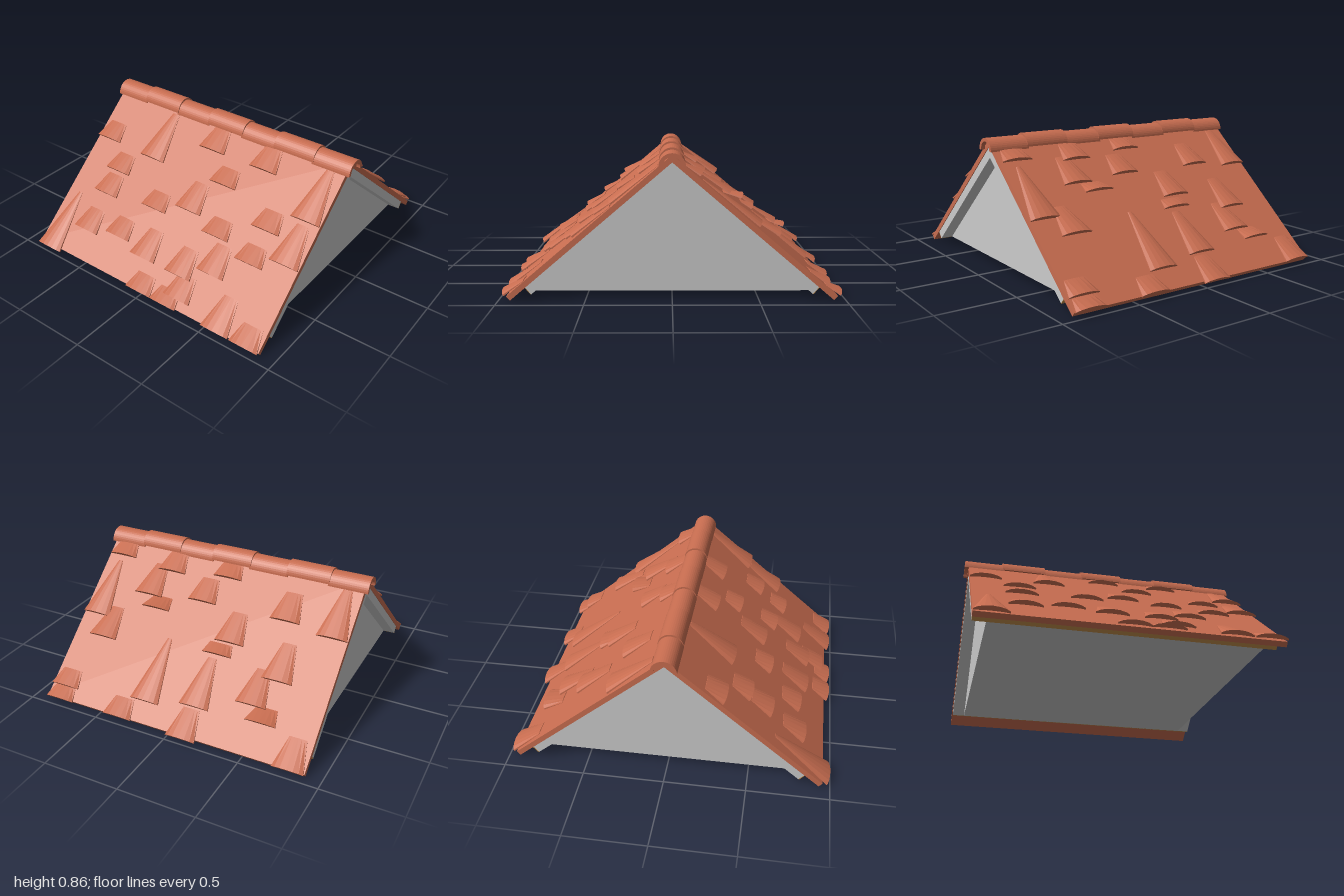
import * as THREE from 'three';

const PITCH = Math.atan(0.853);
const SIN = Math.sin(PITCH), COS = Math.cos(PITCH), TAN = Math.tan(PITCH);
const APEX = 0.842;

const clay = new THREE.MeshStandardMaterial({ color: 0xc86d50 });
const wood = new THREE.MeshStandardMaterial({ color: 0xc08c4a });
const grey = new THREE.MeshStandardMaterial({ color: 0xcccccc });

// Tiles per slope: [eave-end |x|, ridge-end |x|, z, lift of the eave end]
const LEFT_SLOPE = [
  [0.99, 0.81, -0.8], [0.36, 0.08, -0.8], [0.62, 0.40, -0.56], [0.85, 0.72, -0.56, 0.04],
  [0.77, 0.55, -0.46, 0.025], [0.33, 0.15, -0.48], [0.50, 0.31, -0.18], [0.57, 0.48, -0.13],
  [0.84, 0.56, -0.11], [1.0, 0.82, -0.1], [0.18, 0.07, -0.01], [0.33, 0.17, 0.1],
  [0.88, 0.52, 0.22], [0.99, 0.86, 0.36], [0.21, 0.07, 0.39], [0.45, 0.32, 0.38, 0.045],
  [0.37, 0.15, 0.48, 0.025], [0.65, 0.43, 0.67, 0.035], [0.18, 0.07, 0.79], [0.52, 0.18, 0.8],
  [0.92, 0.80, 0.8], [0.99, 0.89, 0.8],
];
const RIGHT_SLOPE = [
  [1.0, 0.65, -0.8], [0.36, 0.23, -0.8], [0.84, 0.69, -0.6], [0.63, 0.49, -0.6],
  [0.50, 0.37, -0.6], [0.37, 0.08, -0.4], [0.80, 0.67, -0.35], [0.60, 0.48, -0.2],
  [0.84, 0.66, -0.1], [0.99, 0.87, -0.01], [0.54, 0.36, 0.04], [0.22, 0.07, -0.01],
  [0.99, 0.88, 0.19], [0.94, 0.79, 0.26], [0.84, 0.67, 0.19], [0.36, 0.24, 0.18],
  [0.60, 0.48, 0.3], [0.77, 0.59, 0.39], [0.22, 0.07, 0.39], [0.99, 0.79, 0.59],
  [0.65, 0.53, 0.59], [0.48, 0.35, 0.59], [0.99, 0.86, 0.8], [0.59, 0.36, 0.8],
  [0.37, 0.08, 0.8],
];

function extrudeZ(points, length, material, name) {
  const shape = new THREE.Shape(points.map(([x, y]) => new THREE.Vector2(x, y)));
  const geo = new THREE.ExtrudeGeometry(shape, { depth: length, bevelEnabled: false });
  geo.translate(0, 0, -length / 2);
  const mesh = new THREE.Mesh(geo, material);
  mesh.name = name;
  return mesh;
}

// Inverted V layer whose eaves are cut square to the slope
function chevron(apex, eaveX, thickness) {
  const y = apex - eaveX * TAN;
  const ix = eaveX - thickness * SIN, iy = y - thickness * COS;
  return [[0, apex], [-eaveX, y], [-ix, iy], [0, apex - thickness / COS], [ix, iy], [eaveX, y]];
}

// Arched, nearly flat-bottomed cross-section, one unit wide and one unit high
function tileShape() {
  const n = 6, spread = 1.1, outer = [], inner = [];
  for (let i = 0; i <= n; i++) {
    const a = spread * (1 - 2 * i / n);
    const x = 0.5 * Math.sin(a) / Math.sin(spread);
    const y = (Math.cos(a) - Math.cos(spread)) / (1 - Math.cos(spread));
    outer.push(new THREE.Vector2(x, 0.3 + 0.7 * y));
    inner.unshift(new THREE.Vector2(x, 0.15 * y));
  }
  return new THREE.Shape([...outer, ...inner]);
}

// Tile that narrows and flattens into the slope towards the ridge
function tile(shape, eaveX, ridgeX, z, lift = 0.01) {
  const height = 0.033;
  const s0 = (eaveX - (height + lift) * SIN) / COS, s1 = ridgeX / COS;
  const topWidth = Math.max(0.03, 0.2 - 0.5 * (eaveX - ridgeX));
  const geo = new THREE.ExtrudeGeometry(shape, { depth: 1, bevelEnabled: false });
  const p = geo.attributes.position;
  for (let i = 0; i < p.count; i++) {
    const t = p.getZ(i);
    const across = p.getX(i) * THREE.MathUtils.lerp(0.2, topWidth, t);
    const rise = p.getY(i) * height * THREE.MathUtils.lerp(1, 0.15, t) + lift * (1 - t);
    p.setXYZ(i, THREE.MathUtils.lerp(s0, s1, t), rise, z + across);
  }
  geo.computeVertexNormals();
  const mesh = new THREE.Mesh(geo, clay);
  mesh.name = 'roofTile';
  return mesh;
}

// Half-round ridge cap between two z positions
function ridgeCap(z0, z1, y) {
  const shape = new THREE.Shape();
  shape.absarc(0, 0, 0.078, 0, Math.PI, false);
  shape.absarc(0, 0, 0.056, Math.PI, 0, true);
  const geo = new THREE.ExtrudeGeometry(shape, { depth: z1 - z0, bevelEnabled: false, curveSegments: 10 });
  const mesh = new THREE.Mesh(geo, clay);
  mesh.position.set(0, y, z0);
  mesh.name = 'ridgeCap';
  return mesh;
}

export function createModel() {
  const model = new THREE.Group();
  model.name = 'gableRoof';

  // Roof covering, grey underlayer, and gable body set back at both ends
  const underApex = APEX - 0.043, underX = 0.845, underThick = 0.053;
  model.add(extrudeZ(chevron(APEX, 0.955, 0.033), 1.8, clay, 'roofSlab'));
  model.add(extrudeZ(chevron(underApex, underX, underThick), 1.79, grey, 'underlayer'));
  model.add(extrudeZ([[0, 0.731], [-0.811, 0.039], [0.811, 0.039]], 1.63, grey, 'gableBody'));

  // Wooden board closing each eave of the underlayer
  for (const side of [1, -1]) {
    const board = new THREE.Mesh(new THREE.BoxGeometry(0.006, underThick, 1.79), wood);
    board.name = 'eaveBoard';
    board.position.set(
      side * (underX - underThick / 2 * SIN),
      underApex - underX * TAN - underThick / 2 * COS, 0);
    board.rotation.z = -side * PITCH;
    model.add(board);
  }

  // Scattered tiles on both slopes; the right slope is turned half round
  const shape = tileShape();
  [[LEFT_SLOPE, 1], [RIGHT_SLOPE, -1]].forEach(([list, side]) => {
    const slope = new THREE.Group();
    slope.name = side > 0 ? 'leftSlopeTiles' : 'rightSlopeTiles';
    slope.position.y = APEX;
    slope.rotation.set(0, side > 0 ? 0 : Math.PI, -PITCH);
    list.forEach(([a, b, z, lift]) => slope.add(tile(shape, a, b, z * side, lift)));
    model.add(slope);
  });

  // Ridge caps, every second one raised
  const joints = [-0.925, -0.675, -0.385, -0.135, 0.145, 0.385, 0.675, 0.925];
  for (let i = 0; i < 7; i++) {
    const raised = i % 2 === 1;
    const lap = raised ? 0 : 0.01;
    model.add(ridgeCap(joints[i] - (i > 0 ? lap : 0), joints[i + 1] + (i < 6 ? lap : 0), raised ? 0.787 : 0.775));
  }
  return model;
}
